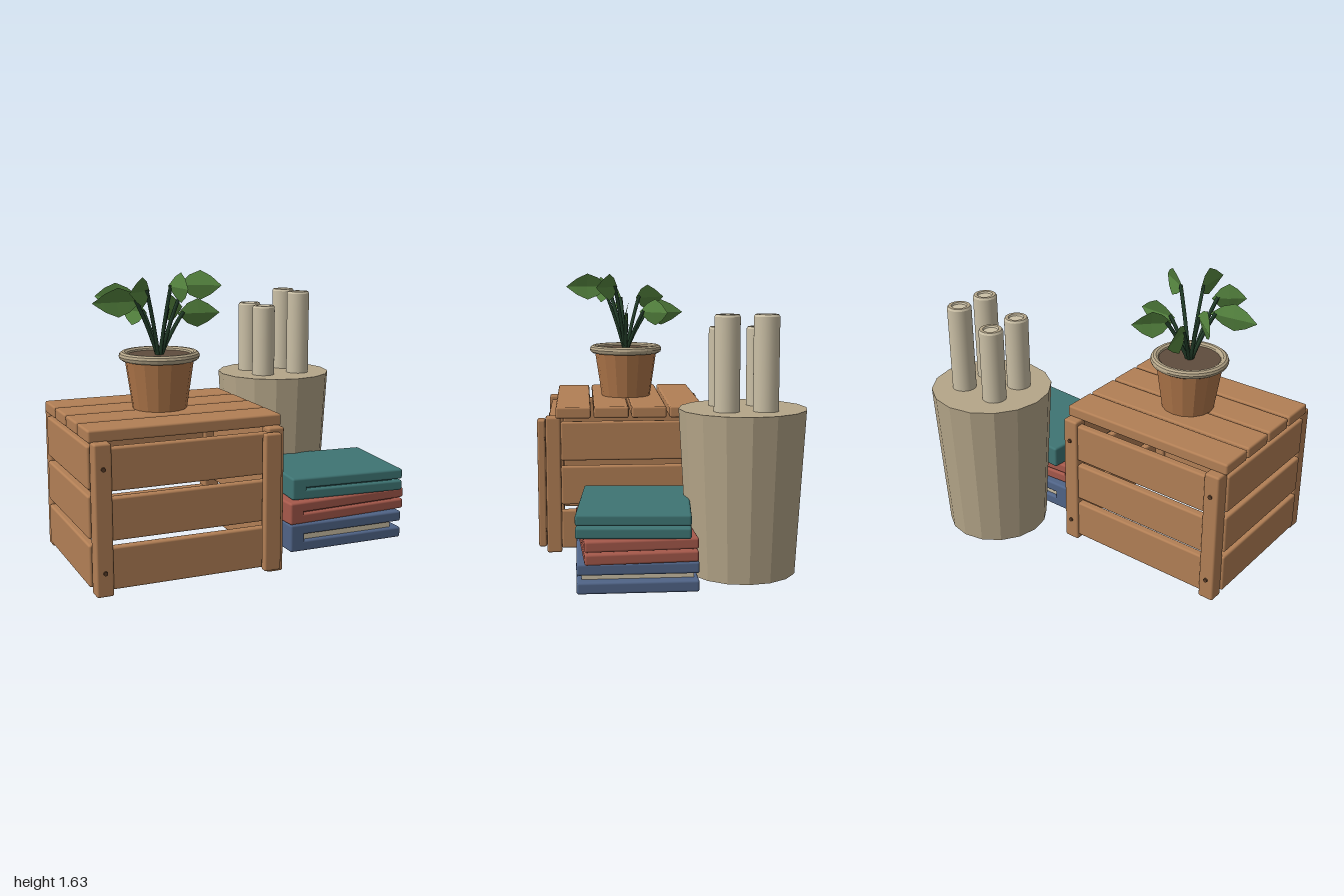
import * as THREE from 'three';
import { RoundedBoxGeometry } from 'three/addons/geometries/RoundedBoxGeometry.js';

const mat = (name, color, extra = {}) => {
  const m = new THREE.MeshStandardMaterial({ color, ...extra });
  m.name = name;
  return m;
};

export function createModel() {
  const wood = mat('wood', 0xb27f55);
  const screwMat = mat('screw', 0x5a3d28);
  const canvas = mat('canvas', 0xb5a689, { flatShading: true });
  const paper = mat('paper', 0xcbc0a6);
  const terracotta = mat('terracotta', 0xb0774a, { flatShading: true });
  const soilMat = mat('soil', 0x5f4c3d);
  const leafMat = mat('leaf', 0x55843f, { flatShading: true, side: THREE.DoubleSide });
  const teal = mat('teal', 0x3e7473);
  const red = mat('red', 0xa6594b);
  const blue = mat('blue', 0x506487);

  const model = new THREE.Group();
  const group = (name, x = 0, y = 0, z = 0) => {
    const g = new THREE.Group();
    g.name = name;
    g.position.set(x, y, z);
    model.add(g);
    return g;
  };
  const add = (parent, name, geo, material, x = 0, y = 0, z = 0) => {
    const m = new THREE.Mesh(geo, material);
    m.name = name;
    m.position.set(x, y, z);
    parent.add(m);
    return m;
  };
  // Softened box given by its two extreme corners
  const board = (parent, name, material, x0, x1, y0, y1, z0, z1, r = 0.012) =>
    add(parent, name, new RoundedBoxGeometry(x1 - x0, y1 - y0, z1 - z0, 2, r), material,
      (x0 + x1) / 2, (y0 + y1) / 2, (z0 + z1) / 2);

  // Crate: open underneath, slatted on the sides and top
  const crate = group('crate');
  for (let i = 0; i < 3; i++) {
    const y0 = 0.03 + i * 0.263, y1 = y0 + 0.23;
    board(crate, 'frontSlat', wood, -0.97, 0.06, y0, y1, 0.63, 0.68);
    board(crate, 'backSlat', wood, -0.97, 0.06, y0, y1, -0.28, -0.23);
    board(crate, 'leftSlat', wood, 0.04, 0.088, y0, y1, -0.21, 0.605);
    board(crate, 'rightSlat', wood, -1, -0.952, y0, y1, -0.21, 0.605);
  }
  for (let i = 0; i < 4; i++) {
    const z0 = -0.238 + i * 0.222;
    board(crate, 'topSlat', wood, -1, 0.088, 0.805, 0.872, z0, z0 + 0.205);
  }
  for (const x of [-0.94, 0.03]) {
    for (const [z0, z1, face] of [[0.605, 0.693, 0.695], [-0.293, -0.205, -0.295]]) {
      board(crate, 'cornerPost', wood, x - 0.047, x + 0.047, 0, 0.812, z0, z1);
      for (const y of [0.13, 0.68]) {
        const screw = new THREE.CylinderGeometry(0.012, 0.012, 0.014, 10).rotateX(Math.PI / 2);
        add(crate, 'screw', screw, screwMat, x, y, face);
      }
    }
  }
  board(crate, 'frontBatten', wood, -0.058, 0.04, 0.027, 0.792, 0.695, 0.743);

  // Books: two covers, a spine and an inset page block
  const book = (name, cover, pages, cx, cz, w, d, y0, y1, gap, turn) => {
    const g = group(name, cx, y0, cz);
    g.rotation.y = turn;
    const h = y1 - y0, t = (h - gap) / 2, hx = w / 2, hz = d / 2;
    board(g, 'lowerCover', cover, -hx, hx, 0, t, -hz, hz, 0.013);
    board(g, 'upperCover', cover, -hx, hx, h - t, h, -hz, hz, 0.013);
    board(g, 'spine', cover, -hx, -hx + 0.09, 0.01, h - 0.01, -hz, hz, 0.013);
    add(g, 'pages', new THREE.BoxGeometry(w - 0.1, gap + 0.02, d - 0.05), pages, -0.01, h / 2, 0);
  };
  book('bottomBook', blue, paper, 0.583, 0.2, 0.735, 0.635, 0.025, 0.187, 0.036, 0);
  book('middleBook', red, red, 0.585, 0.203, 0.78, 0.59, 0.188, 0.316, 0.008, 0.057);
  book('topBook', teal, teal, 0.621, 0.2, 0.705, 0.595, 0.317, 0.446, 0.008, -0.075);

  // Tapered bin with four rolls standing in it
  const bin = group('bin', 0.54, 0, -0.395);
  add(bin, 'binBody', new THREE.CylinderGeometry(0.352, 0.3, 0.905, 16), canvas, 0, 0.4725, 0);
  for (const [x, top] of [[-0.12, 1.36], [0.12, 1.44]]) {
    for (const z of [-0.105, 0.105]) {
      const profile = [[0.07, 0.9], [0.07, top - 0.012], [0.063, top], [0.045, top],
        [0.04, top - 0.01], [0, top - 0.01]].map(p => new THREE.Vector2(...p));
      // Each profile run gets its own lathe so that the edges stay crisp
      for (let i = 0; i < profile.length - 1; i++) {
        add(bin, 'roll', new THREE.LatheGeometry([profile[i], profile[i + 1]], 20),
          i === 2 ? canvas : paper, x, 0, z);
      }
    }
  }

  // Plant pot with rim and soil
  const plant = group('plant', -0.455, 0, 0.2);
  add(plant, 'pot', new THREE.CylinderGeometry(0.195, 0.152, 0.29, 16), terracotta, 0, 1.017, 0);
  add(plant, 'potRim', new THREE.TorusGeometry(0.2, 0.025, 10, 32).rotateX(Math.PI / 2),
    mat('canvas', 0xb5a689), 0, 1.165, 0).material = paperRim(canvas);
  add(plant, 'soil', new THREE.CylinderGeometry(0.185, 0.185, 0.02, 24), soilMat, 0, 1.16, 0);

  // Leaf blade: upright diamond with a folded midrib and a sideways bend
  const leafGeometry = length => {
    const halfWidths = [0, 0.055, 0.08, 0.05, 0];
    const pos = [], index = [];
    halfWidths.forEach((w, i) => {
      const t = i / 4, bend = 0.045 * t * t - 0.025 * t;
      pos.push(t * length, w, bend - 0.1 * w);
      pos.push(t * length, 0, bend + 0.15 * w);
      pos.push(t * length, -w, bend - 0.1 * w);
      if (i === 4) return;
      for (const k of [0, 1]) {
        const a = i * 3 + k, b = a + 3;
        index.push(a, a + 1, b, b, a + 1, b + 1);
      }
    });
    const g = new THREE.BufferGeometry();
    g.setAttribute('position', new THREE.Float32BufferAttribute(pos, 3));
    g.setIndex(index);
    const flat = g.toNonIndexed();
    flat.computeVertexNormals();
    return flat;
  };

  // Leaf tips: x and z from the pot centre, and height
  const stemMat = mat('stem', 0x24402b);
  const tips = [[-0.11, -0.36, 1.4], [0.22, -0.26, 1.41], [0.355, 0, 1.4], [0.305, 0.17, 1.565],
    [0.05, 0.365, 1.565], [-0.22, 0.21, 1.54], [-0.39, 0.065, 1.48], [-0.3, -0.245, 1.49]];
  for (const [x, z, y] of tips) {
    const reach = Math.hypot(x, z), base = 0.11;
    const dx = x / reach, dz = z / reach;
    const blade = add(plant, 'leaf', leafGeometry(reach - base), leafMat, dx * base, y - 0.01, dz * base);
    blade.rotation.y = Math.atan2(-dz, dx);
    const stem = new THREE.QuadraticBezierCurve3(
      new THREE.Vector3(dx * 0.01, 1.16, dz * 0.01),
      new THREE.Vector3(dx * 0.06, (y + 1.16) / 2, dz * 0.06),
      new THREE.Vector3(dx * (base + 0.035), y, dz * (base + 0.035)));
    add(plant, 'stem', new THREE.TubeGeometry(stem, 6, 0.011, 6), stemMat);
  }
  return model;

  // The rim shares the bin colour
  function paperRim(m) { return m; }
}
